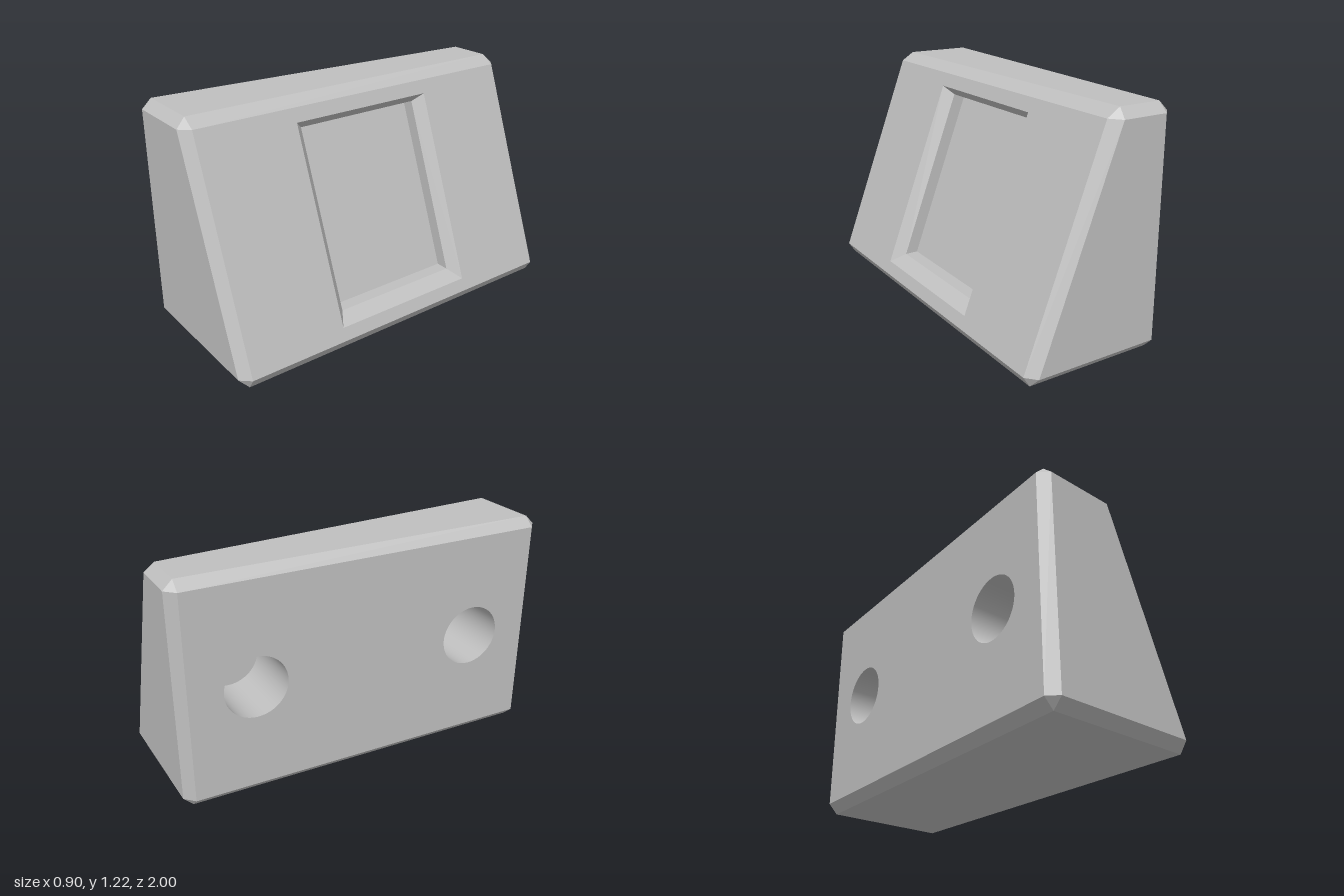
import * as THREE from 'three';

const grey = new THREE.MeshStandardMaterial({ color: 0xbfbfbf });
grey.name = 'grey';

const END = 0.95;                       // where the end chamfers begin
const taperX = z => -0.45 + 0.13 * (END - z) / (2 * END);          // tapered -x face
const slopeX = y => 0.03 + (1.17 - y) * (0.42 / 1.115);            // sloping +x face

// Flat-shaded geometry from polygons (three or four corners, counter-clockwise)
function facets(polys) {
  const pos = [];
  for (const p of polys) {
    for (let i = 1; i < p.length - 1; i++) {
      const t = [p[0], p[i], p[i + 1]];
      if (new THREE.Triangle(...t).getArea() > 1e-7) t.forEach(v => pos.push(v.x, v.y, v.z));
    }
  }
  const g = new THREE.BufferGeometry();
  g.setAttribute('position', new THREE.Float32BufferAttribute(pos, 3));
  g.computeVertexNormals();
  return g;
}

// Side faces joining successive loops; inward turns them to face the inside
function loft(loops, inward, skip = () => false) {
  const polys = [];
  for (let k = 0; k < loops.length - 1; k++) {
    const a = loops[k], b = loops[k + 1], n = a.length;
    for (let i = 0; i < n; i++) {
      if (skip(k, i)) continue;
      const j = (i + 1) % n;
      polys.push(inward ? [a[i], a[j], b[j], b[i]] : [a[i], b[i], b[j], a[j]]);
    }
  }
  return polys;
}

// Flat panel drawn in 2D, then laid onto a slanted face
function panel(shape, place) {
  const g = new THREE.ShapeGeometry(shape, 24);
  const p = g.attributes.position;
  for (let i = 0; i < p.count; i++) p.setXYZ(i, ...place(p.getX(i), p.getY(i)));
  g.computeVertexNormals();
  return g;
}

const rect = (u, v0, v1) => [[-u, v0], [u, v0], [u, v1], [-u, v1]];
const toShape = pts => new THREE.Shape(pts.map(p => new THREE.Vector2(...p)));

export function createModel() {
  const group = new THREE.Group();
  const add = (name, geometry) => {
    const m = new THREE.Mesh(geometry, grey);
    m.name = name;
    group.add(m);
  };
  const V = (x, y, z) => new THREE.Vector3(x, y, z);

  // Chamfered wedge body: full section, and inset end section with paired corners
  const full = z => {
    const l = taperX(z);
    return [[l, 0.052], [l + 0.05, 0], [0.415, 0], [0.45, 0.055],
      [0.03, 1.17], [-0.04, 1.215], [l + 0.05, 1.215], [l, 1.167]].map(p => V(...p, z));
  };
  const end = z => {
    const l = taperX(Math.sign(z) * END) + 0.05;
    return [[l, 0.052], [l, 0.052], [0.4, 0.052], [0.4, 0.052],
      [-0.025, 1.167], [-0.025, 1.167], [l, 1.167], [l, 1.167]].map(p => V(...p, z));
  };
  const loops = [end(1), full(END), full(-END), end(-1)];
  const cap = l => [l[0], l[2], l[4], l[6]];
  add('body', facets([
    ...loft(loops, false, (k, i) => k === 1 && (i === 3 || i === 7)),
    cap(loops[0]), cap(loops[3]).reverse(),
  ]));

  // Sloping face with the rectangular opening
  const slope = toShape(rect(END, 0.055, 1.17));
  slope.holes.push(toShape(rect(0.41, 0.12, 1.1)));
  add('slopingFace', panel(slope, (u, v) => [slopeX(v), v, -u]));

  // Recess: chamfered lip, straight walls and floor
  const ring = (u, v0, v1, depth) => rect(u, v0, v1).map(([a, b]) => V(slopeX(b) - depth, b, -a));
  const recess = [
    ring(0.41, 0.12, 1.1, 0),
    ring(0.36, 0.165, 1.055, 0.06),
    ring(0.36, 0.165, 1.055, 0.13),
  ];
  add('recess', facets([...loft(recess, true), recess[2]]));

  // Tapered face with two round holes
  const R = 0.165, HOLE_Y = 0.61, DEPTH = 0.35;
  const holeZ = [-0.61, 0.61];
  const back = toShape(rect(END, 0.052, 1.167));
  for (const z of holeZ) back.holes.push(new THREE.Path().absarc(z, HOLE_Y, R, 0, Math.PI * 2, true));
  add('taperedFace', panel(back, (u, v) => [taperX(u), v, u]));

  // Blind bores behind the holes
  for (const z of holeZ) {
    const wall = new THREE.CylinderGeometry(R, R, 1, 48, 1, true).rotateZ(Math.PI / 2);
    wall.translate(0, HOLE_Y, z);
    const p = wall.attributes.position, n = wall.attributes.normal;
    for (let i = 0; i < p.count; i++) {
      p.setX(i, taperX(p.getZ(i)) + (p.getX(i) > 0 ? DEPTH : 0));
      n.setXYZ(i, -n.getX(i), -n.getY(i), -n.getZ(i));
    }
    wall.index.array.reverse();
    add('holeWall', wall);

    const floor = new THREE.CircleGeometry(R, 48).rotateY(-Math.PI / 2).translate(0, HOLE_Y, z);
    const f = floor.attributes.position;
    for (let i = 0; i < f.count; i++) f.setX(i, taperX(f.getZ(i)) + DEPTH);
    floor.computeVertexNormals();
    add('holeFloor', floor);
  }

  return group;
}
